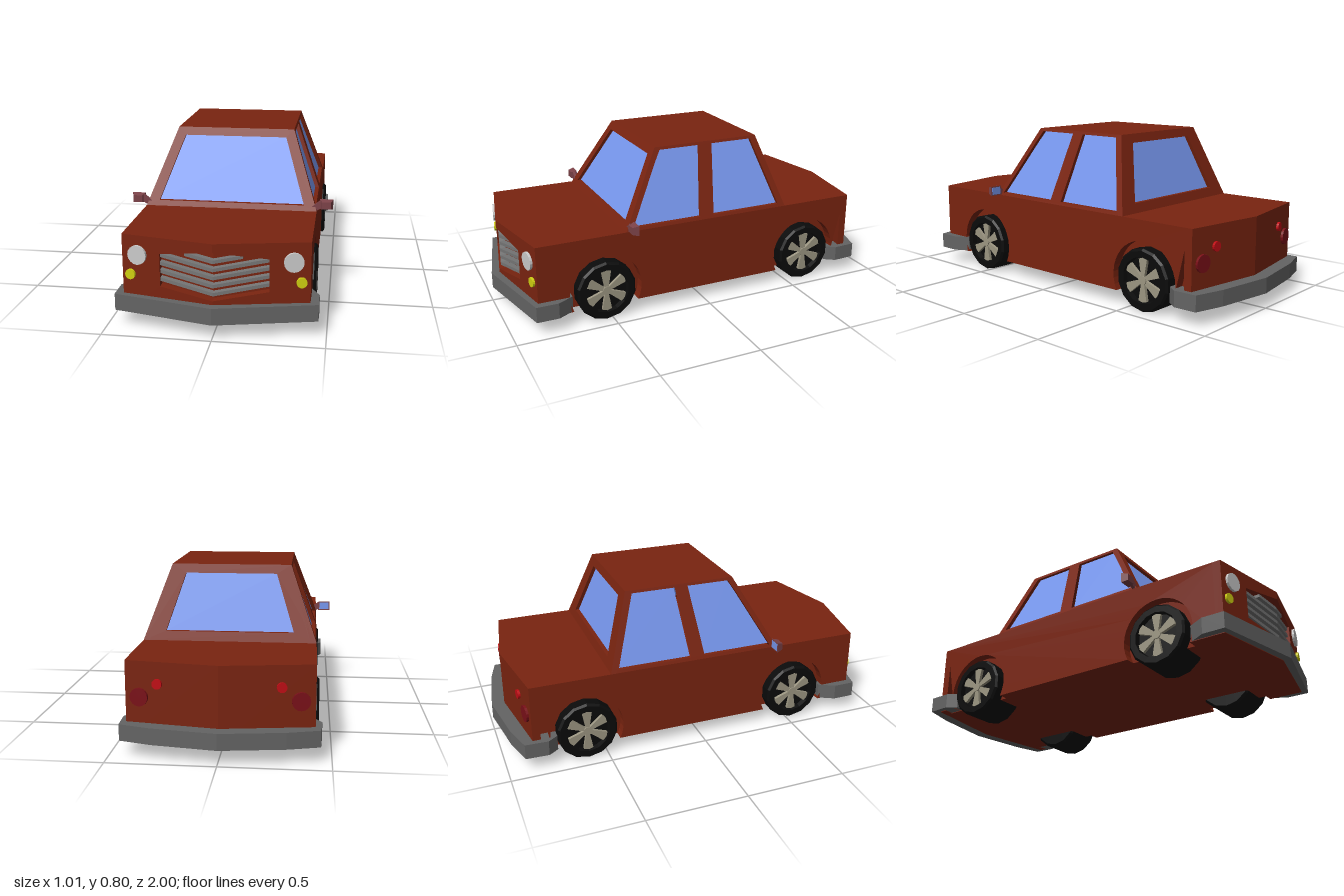
import * as THREE from 'three';

const mat = (color, side = THREE.FrontSide) => new THREE.MeshStandardMaterial({ color, side, flatShading: true });
const poly = (pts) => new THREE.Shape(pts.map(([x, y]) => new THREE.Vector2(x, y)));
const extrude = (shape, depth) => new THREE.ExtrudeGeometry(shape, { depth, bevelEnabled: false, curveSegments: 12 });

// move every vertex by a rule that returns its new z
function bendZ(geo, rule) {
  const p = geo.attributes.position;
  for (let i = 0; i < p.count; i++) p.setZ(i, rule(p.getX(i), p.getY(i), p.getZ(i)));
  geo.computeVertexNormals();
  return geo;
}

export function createModel() {
  const car = new THREE.Group();
  const paint = mat(0x7a2410);
  const glass = mat(0x7898f0, THREE.DoubleSide);
  const bumperGrey = mat(0x646464);
  const silver = mat(0x777777);
  const rubber = mat(0x0b0b0b);
  const alloy = mat(0x9c9682);
  const mirrorPaint = mat(0x7c4248);

  const add = (name, geo, material, parent = car) => {
    const mesh = new THREE.Mesh(geo, material);
    mesh.name = name;
    parent.add(mesh);
    return mesh;
  };

  const FLOOR = 0.07, BELT = 0.435, ROOF = 0.8, HALF = 0.425;
  const FRONT = { z: 0.955, slope: 0.2 }, REAR = { z: 0.935, slope: 0.15 };
  const AXLES = [0.53, -0.6], AXLE_Y = 0.152;

  // horizontal slab from half a plan outline of (x, z) points, mirrored in x
  const plan = (half, y0, y1) => {
    const left = half.map(([x, z]) => [x, -z]);
    const right = left.filter(([x]) => x > 0).map(([x, z]) => [-x, z]).reverse();
    return extrude(poly([...left, ...right]), y1 - y0).rotateX(-Math.PI / 2).translate(0, y0, 0);
  };

  // lower body: core, and side panels with wheel arches
  add('bodyCore', plan([[0, 0.915], [0.375, 0.84], [0.375, -0.84], [0, -0.895]], FLOOR, BELT), paint);
  const side = new THREE.Shape();
  side.moveTo(-0.855, FLOOR);
  const a = Math.asin((AXLE_Y - FLOOR) / 0.185);
  for (const z of [...AXLES].reverse()) side.absarc(z, AXLE_Y, 0.185, Math.PI + a, -a, true);
  side.lineTo(0.85, FLOOR);
  side.lineTo(0.85, BELT);
  side.lineTo(-0.855, BELT);
  for (const x of [HALF, -0.375]) {
    add('sidePanel', extrude(side, 0.05).rotateY(-Math.PI / 2), paint).position.x = x;
  }

  // pieces lying on the V-shaped nose or tail; w is the depth range behind the face
  const vPiece = (name, half, end, w0, w1, material, rotY = 0) => {
    for (const s of [1, -1]) {
      const geo = extrude(poly(half.map(([x, y]) => [s * x, y])), w1 - w0);
      bendZ(geo, (x, y, z) => z + w0 + end.z - end.slope * Math.abs(x));
      add(name, geo.rotateY(rotY), material);
    }
  };
  vPiece('frontFascia', [[0, FLOOR], [HALF, FLOOR], [HALF, BELT], [0, BELT],
    [0, 0.395], [0.245, 0.36], [0.245, 0.207], [0, 0.17]], FRONT, -0.04, 0, paint);
  vPiece('rearFascia', [[0, FLOOR], [HALF, FLOOR], [HALF, BELT], [0, BELT]], REAR, -0.04, 0, paint, Math.PI);

  // chevron grille bars
  for (let i = 0; i < 5; i++) {
    const y = 0.197 + 0.0378 * i, x = i === 4 ? 0.13 : 0.245, rise = 0.165 * x, t = 0.008;
    vPiece('grilleBar', [[0, y - t], [x, y + rise - t], [x, y + rise + t], [0, y + t]], FRONT, -0.045, -0.01, silver);
  }

  // round lights, tilted to follow the nose and tail
  const lamp = (name, x, y, r, end, dir, color) => {
    for (const s of [1, -1]) {
      const geo = new THREE.CylinderGeometry(r, r, 0.024, 16).rotateX(Math.PI / 2);
      const mesh = add(name, geo, mat(color));
      mesh.position.set(s * x, y, dir * (end.z - end.slope * x));
      mesh.rotation.y = s * dir * Math.atan(end.slope);
    }
  };
  lamp('headlight', 0.35, 0.345, 0.045, FRONT, 1, 0xcccccc);
  lamp('frontIndicator', 0.385, 0.25, 0.024, FRONT, 1, 0xd0d010);
  lamp('tailLight', 0.36, 0.27, 0.042, REAR, -1, 0x7a1018);
  lamp('rearIndicator', 0.275, 0.335, 0.023, REAR, -1, 0xc00c14);

  // bumpers
  add('frontBumper', plan([[0, 0.995], [0.463, 0.89], [0.463, 0.78], [0.42, 0.7]], 0.073, 0.152), bumperGrey);
  add('rearBumper', plan([[0.42, -0.75], [0.455, -0.8], [0.45, -0.915], [0.3, -0.957], [0, -1]], 0.073, 0.15), bumperGrey);

  // sloping cabin wall with recessed windows, built facing +z and then turned
  const wall = (name, outline, windows, reach, topReach, rotY) => {
    const lean = (reach - topReach) / (ROOF - BELT);
    const place = (geo, w) => bendZ(geo, (x, y, z) => z + w + reach - lean * (y - BELT)).rotateY(rotY);
    const shape = poly(outline);
    shape.holes = windows.map(poly);
    add(name, place(extrude(shape, 0.03), -0.03), paint);
    for (const win of windows) add(name + 'Window', place(new THREE.ShapeGeometry(poly(win)), -0.02), glass);
  };
  const endWall = [[-HALF, BELT], [HALF, BELT], [0.295, ROOF], [-0.295, ROOF]];
  wall('windscreenFrame', endWall, [[[-0.362, 0.46], [0.362, 0.46], [0.257, 0.762], [-0.257, 0.762]]], 0.42, 0.215, 0);
  wall('rearFrame', endWall, [[[-0.315, 0.48], [0.315, 0.48], [0.225, 0.757], [-0.225, 0.757]]], 0.47, 0.35, Math.PI);
  for (const s of [1, -1]) {
    const m = (pts) => pts.map(([z, y]) => [-s * z, y]);
    wall('doorFrame', m([[0.42, BELT], [-0.47, BELT], [-0.35, ROOF], [0.215, ROOF]]), [
      m([[0.395, 0.45], [0.02, 0.45], [-0.028, 0.786], [0.19, 0.786]]),
      m([[-0.053, 0.45], [-0.43, 0.45], [-0.318, 0.786], [-0.096, 0.786]]),
    ], HALF, 0.295, s * Math.PI / 2);
  }
  add('roof', new THREE.BoxGeometry(0.59, 0.014, 0.565).translate(0, ROOF - 0.007, -0.0675), paint);

  // door mirrors: arm, tapered housing and glass
  for (const s of [1, -1]) {
    const mirror = new THREE.Group();
    mirror.name = 'doorMirror';
    const arm = poly([[0.405, 0.437], [0.425, 0.437], [0.45, 0.452], [0.45, 0.488], [0.437, 0.484], [0.4, 0.455]]
      .map(([x, y]) => [s * x, y]));
    add('mirrorArm', extrude(arm, 0.014).translate(0, 0, 0.395), mirrorPaint, mirror);
    const housing = new THREE.CylinderGeometry(0.5, Math.SQRT1_2, 1, 4, 1).rotateY(Math.PI / 4).rotateX(Math.PI / 2);
    const box = add('mirrorHousing', housing, mirrorPaint, mirror);
    box.scale.set(0.066, 0.05, 0.032);
    box.position.set(s * 0.471, 0.465, 0.401);
    add('mirrorGlass', new THREE.BoxGeometry(0.054, 0.038, 0.003), glass, mirror).position.set(s * 0.471, 0.465, 0.3845);
    car.add(mirror);
  }

  // wheels, built facing +z: dished tyre, six flared spokes and a hub
  const tyreProfile = [[0, -0.1], [0.14, -0.1], [0.152, -0.09], [0.152, 0.09], [0.142, 0.1], [0.112, 0.1], [0.107, 0.075], [0, 0.075]]
    .map(([r, y]) => new THREE.Vector2(r, y));
  const spoke = poly([[-0.009, 0.015], [0.009, 0.015], [0.024, 0.1], [0, 0.107], [-0.024, 0.1]]);
  for (const z of AXLES) for (const s of [1, -1]) {
    const wheel = new THREE.Group();
    wheel.name = 'wheel';
    add('tyre', new THREE.LatheGeometry(tyreProfile, 14).rotateX(Math.PI / 2), rubber, wheel);
    for (let i = 0; i < 6; i++) {
      add('spoke', extrude(spoke, 0.018).translate(0, 0, 0.073), alloy, wheel).rotation.z = i * Math.PI / 3;
    }
    add('hub', new THREE.CylinderGeometry(0.022, 0.022, 0.025, 12).rotateX(Math.PI / 2).translate(0, 0, 0.083), alloy, wheel);
    wheel.position.set(s * 0.34, AXLE_Y, z);
    wheel.rotation.y = s * Math.PI / 2;
    car.add(wheel);
  }
  return car;
}
